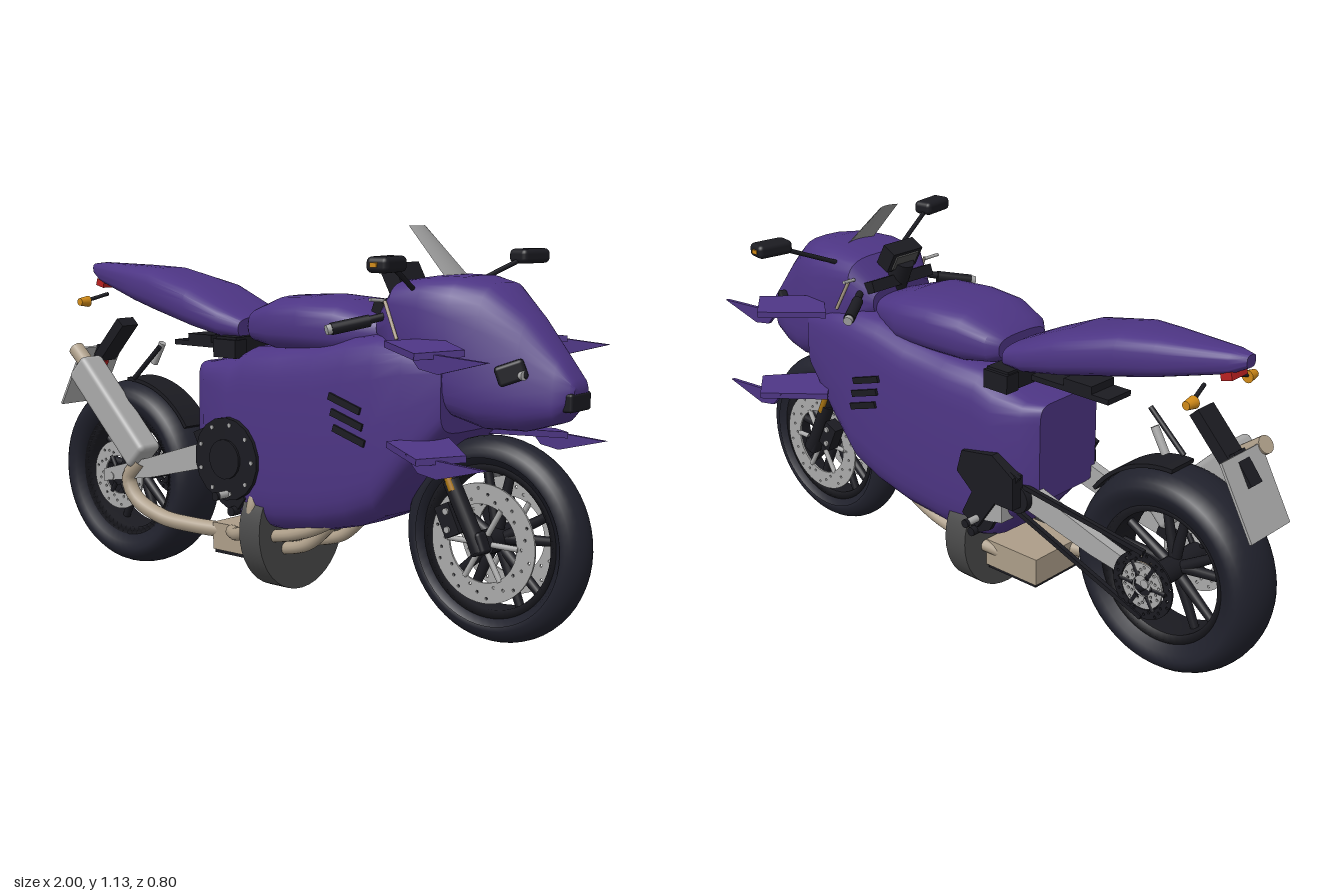
import * as THREE from 'three';
import { toCreasedNormals } from 'three/addons/utils/BufferGeometryUtils.js';
import { RoundedBoxGeometry } from 'three/addons/geometries/RoundedBoxGeometry.js';

const paint = (name, color) => Object.assign(new THREE.MeshStandardMaterial({ color }), { name });
const V = (p) => new THREE.Vector3(...p);

export function createModel() {
  const purple = paint('purple bodywork', 0x4d3584), rubber = paint('tyre rubber', 0x20212c);
  const black = paint('black parts', 0x1b1b21), steel = paint('steel', 0xa9a9a9);
  const grey = paint('dark grey', 0x4b4b4b), beige = paint('exhaust beige', 0xac9d88);
  const gold = paint('fork gold', 0xa87412), orange = paint('indicator orange', 0xd08a18);
  const red = paint('tail light red', 0xb82020);
  const screenMat = paint('screen grey', 0x989898);
  screenMat.side = THREE.DoubleSide;

  const bike = new THREE.Group();
  bike.name = 'motorcycle';
  let target = bike;
  const add = (name, geo, mat, x = 0, y = 0, z = 0) => {
    const m = new THREE.Mesh(geo, mat);
    m.name = name;
    m.position.set(x, y, z);
    target.add(m);
    return m;
  };
  const box = (name, mat, [w, h, d], [x, y, z], rz = 0) => {
    const m = add(name, new THREE.BoxGeometry(w, h, d), mat, x, y, z);
    m.rotation.z = rz;
    return m;
  };
  // Straight round bar between two points
  const rod = (name, mat, a, b, r, r2 = r) => {
    const p = V(a), q = V(b), d = q.clone().sub(p);
    const m = add(name, new THREE.CylinderGeometry(r2, r, d.length(), 18), mat);
    m.position.copy(p).add(q).multiplyScalar(0.5);
    m.quaternion.setFromUnitVectors(new THREE.Vector3(0, 1, 0), d.normalize());
    return m;
  };
  const pipe = (name, mat, pts, r) =>
    add(name, new THREE.TubeGeometry(new THREE.CatmullRomCurve3(pts.map(V)), 28, r, 12), mat);
  // Flat plate in the side plane, centred on z
  const plate = (name, mat, pts, depth, z) => {
    const s = new THREE.Shape(pts.map((p) => new THREE.Vector2(...p)));
    return add(name, new THREE.ExtrudeGeometry(s, { depth, bevelEnabled: false }), mat, 0, 0, z - depth / 2);
  };
  // Shell lofted along x; a section is [x, bottom, top, half width, squareness, top narrowing]
  const loft = (name, mat, sections, crease = 0.55, n = 32) => {
    const pos = [], idx = [];
    const pw = (v, e) => Math.sign(v) * Math.abs(v) ** (2 / e);
    sections.forEach(([x, lo, hi, w, e = 3, t = 0]) => {
      for (let j = 0; j < n; j++) {
        const a = (j / n) * Math.PI * 2, s = pw(Math.sin(a), e);
        pos.push(x, (lo + hi) / 2 + ((hi - lo) / 2) * s, w * pw(Math.cos(a), e) * (1 - t * (s + 1) / 2));
      }
    });
    const last = sections.length - 1, c = pos.length / 3;
    [sections[0], sections[last]].forEach(([x, lo, hi]) => pos.push(x, (lo + hi) / 2, 0));
    for (let j = 0; j < n; j++) {
      const k = (j + 1) % n;
      for (let i = 0; i < last; i++) {
        const a = i * n, b = a + n;
        idx.push(a + j, b + j, b + k, a + j, b + k, a + k);
      }
      idx.push(c, j, k, c + 1, last * n + k, last * n + j);
    }
    const g = new THREE.BufferGeometry();
    g.setAttribute('position', new THREE.Float32BufferAttribute(pos, 3));
    g.setIndex(idx);
    return add(name, toCreasedNormals(g, crease), mat);
  };

  // Bodywork
  loft('mainFairing', purple, [[-0.3, 0.41, 0.71, 0.125, 8], [-0.25, 0.38, 0.715, 0.16, 7], [-0.14, 0.25, 0.74, 0.175, 5],
    [-0.08, 0.23, 0.77, 0.18, 5], [0.05, 0.23, 0.78, 0.188, 5], [0.2, 0.25, 0.8, 0.197, 5], [0.32, 0.28, 0.83, 0.2, 5],
    [0.42, 0.325, 0.84, 0.2, 5], [0.52, 0.45, 0.83, 0.195, 5], [0.635, 0.58, 0.8, 0.17, 5]]);
  loft('tank', purple, [[-0.12, 0.79, 0.86, 0.1], [-0.09, 0.775, 0.885, 0.13], [0, 0.76, 0.92, 0.155], [0.12, 0.76, 0.927, 0.165],
    [0.25, 0.76, 0.92, 0.16], [0.34, 0.78, 0.89, 0.13], [0.43, 0.79, 0.86, 0.08]]);
  loft('tail', purple, [[-0.895, 0.95, 0.985, 0.02], [-0.85, 0.925, 0.99, 0.04], [-0.65, 0.87, 0.987, 0.09], [-0.54, 0.845, 0.983, 0.115],
    [-0.35, 0.805, 0.94, 0.145], [-0.22, 0.78, 0.885, 0.135], [-0.145, 0.78, 0.85, 0.115]]);
  loft('nose', purple, [[0.38, 0.81, 0.9, 0.12], [0.45, 0.76, 0.985, 0.16, 4], [0.55, 0.7, 1.0, 0.172, 4, 0.04], [0.64, 0.62, 1.0, 0.172, 4, 0.1],
    [0.72, 0.595, 0.985, 0.16, 3.5, 0.22], [0.82, 0.597, 0.905, 0.125, 3, 0.38], [0.91, 0.625, 0.8, 0.08, 3, 0.35],
    [0.95, 0.67, 0.745, 0.045, 3.5], [0.958, 0.69, 0.73, 0.035, 3.5]]);
  add('noseIntake', new RoundedBoxGeometry(0.05, 0.05, 0.1, 2, 0.008), black, 0.935, 0.685, 0);

  // Windscreen, a shallow curved strip
  const screen = new THREE.PlaneGeometry(1, 1, 8, 4);
  for (let i = 0, p = screen.attributes.position; i < p.count; i++) {
    const u = p.getX(i), v = p.getY(i) + 0.5;
    p.setXYZ(i, 0.58 - 0.14 * v - u * u * 0.05, 0.99 + 0.14 * v, -u * (0.11 - 0.035 * v));
  }
  screen.computeVertexNormals();
  add('windscreen', screen, screenMat);

  // Paired body details
  for (const s of [1, -1]) {
    for (const [y, inner, shift] of [[0.835, 0.13, 0], [0.565, 0.1, 0.01]]) {
      const sh = new THREE.Shape([[0.485, 0.22], [0.6, inner], [0.765, 0.25], [0.67, 0.338]].map(([x, z]) => new THREE.Vector2(x + shift, z * s)));
      const g = new THREE.ExtrudeGeometry(sh, { depth: 0.018, bevelEnabled: false }).rotateX(Math.PI / 2);
      for (let i = 0, p = g.attributes.position; i < p.count; i++) p.setY(i, p.getY(i) - (Math.abs(p.getZ(i)) - 0.17) * 0.1);
      g.computeVertexNormals();
      add('winglet', g, purple, 0, y, 0);
      plate('wingletEndPlate', purple, [[0.62, y - 0.015], [0.87, y - 0.03], [0.72, y - 0.07], [0.66, y - 0.06]], 0.012, s * 0.298);
    }
    for (let i = 0; i < 3; i++)
      box('sideVent', black, [0.115, 0.02, 0.009], [0.335 + i * 0.008, 0.645 - i * 0.044, s * 0.202], -0.3);
    // Headlights
    const lamp = add('headlight', new RoundedBoxGeometry(0.08, 0.055, 0.03, 2, 0.01), black, 0.815, 0.76, s * 0.112);
    lamp.rotation.set(0, s * 0.5, 0.35);
    rod('headlightLens', steel, [0.82, 0.755, s * 0.1], [0.852, 0.755, s * 0.107], 0.013);
    // Mirrors
    rod('mirrorStalk', black, [0.52, 0.965, s * 0.14], [0.575, 1.03, s * 0.3], 0.007);
    add('mirror', new RoundedBoxGeometry(0.065, 0.042, 0.115, 3, 0.015), black, 0.582, 1.04, s * 0.338).rotation.y = s * 0.15;
    box('mirrorMarker', orange, [0.02, 0.012, 0.008], [0.585, 1.04, s * 0.396]);
    // Handlebars and levers
    rod('handlebar', black, [0.43, 0.89, s * 0.12], [0.36, 0.863, s * 0.23], 0.011);
    rod('grip', black, [0.395, 0.875, s * 0.17], [0.335, 0.855, s * 0.26], 0.017);
    rod('barEnd', steel, [0.335, 0.855, s * 0.26], [0.328, 0.852, s * 0.272], 0.014);
    rod('lever', steel, [0.43, 0.93, s * 0.15], [0.42, 0.935, s * 0.2], 0.005);
    rod('brakeHose', beige, [0.44, 0.93, s * 0.16], [0.49, 0.83, s * 0.172], 0.005);
    // Front forks
    rod('forkUpper', black, [0.64, 0.43, s * 0.105], [0.56, 0.6, s * 0.105], 0.02);
    rod('forkStripe', gold, [0.645, 0.43, s * 0.122], [0.575, 0.575, s * 0.122], 0.011);
    rod('forkLower', black, [0.722, 0.27, s * 0.1], [0.628, 0.455, s * 0.107], 0.024);
    add('forkFoot', new RoundedBoxGeometry(0.05, 0.06, 0.04, 2, 0.01), black, 0.715, 0.29, s * 0.1).rotation.z = 0.4;
    box('brakeCaliper', black, [0.05, 0.09, 0.04], [0.625, 0.345, s * 0.1], 0.45);
    for (const y of [0.32, 0.37]) rod('caliperBolt', steel, [0.66 - y * 0.1, y, s * 0.11], [0.66 - y * 0.1, y, s * 0.126], 0.009);
    // Foot pegs and hanger
    plate('footPegHanger', black, [[-0.27, 0.5], [-0.2, 0.53], [-0.06, 0.32], [-0.1, 0.27], [-0.16, 0.3]], 0.015, s * 0.175);
    rod('footPeg', steel, [-0.12, 0.33, s * 0.16], [-0.12, 0.33, s * 0.235], 0.011);
    rod('pegEnd', black, [-0.12, 0.33, s * 0.235], [-0.12, 0.33, s * 0.246], 0.013);
    rod('pegTip', black, [-0.1, 0.28, s * 0.17], [-0.1, 0.28, s * 0.2], 0.014);
    // Swing arm
    plate('swingArm', steel, [[-0.73, 0.285], [-0.73, 0.325], [-0.52, 0.385], [-0.25, 0.47], [-0.2, 0.4], [-0.5, 0.325]], 0.03, s * 0.122);
    rod('rearIndicator', orange, [-0.81, 0.868, s * 0.12], [-0.81, 0.868, s * 0.155], 0.018, 0.012);
    rod('indicatorStem', black, [-0.79, 0.89, s * 0.05], [-0.81, 0.87, s * 0.13], 0.006);
    // Seat side mounts
    box('seatMount', black, [0.09, 0.055, 0.05], [-0.16, 0.76, s * 0.135]);
  }

  // Steering head and dash
  box('dash', black, [0.05, 0.07, 0.12], [0.385, 0.985, 0], 0.5);
  box('dashScreen', grey, [0.006, 0.05, 0.09], [0.361, 0.972, 0], 0.5);
  box('topYoke', black, [0.08, 0.035, 0.25], [0.41, 0.9, 0], -0.35);
  rod('steeringStem', black, [0.37, 0.97, 0], [0.42, 0.86, 0], 0.035);

  // Seat frame
  box('seatFrame', black, [0.32, 0.016, 0.1], [-0.32, 0.752, 0]);
  box('seatBase', black, [0.08, 0.06, 0.3], [-0.16, 0.765, 0]);
  box('tailBox', black, [0.1, 0.035, 0.1], [-0.37, 0.765, 0]);

  // Wheels
  const tyreGeo = (r, w, ri) => {
    const pts = [[ri, -w * 0.72], [ri + 0.03, -w * 0.92]];
    for (let i = 0; i <= 12; i++) {
      const a = -Math.PI / 2 + (i / 12) * Math.PI;
      pts.push([r - 0.055 + 0.055 * Math.cos(a), w * Math.sin(a)]);
    }
    pts.push([ri + 0.03, w * 0.92], [ri, w * 0.72], [ri, -w * 0.72]);
    return new THREE.LatheGeometry(pts.map((p) => new THREE.Vector2(...p)), 56).rotateX(Math.PI / 2);
  };
  // Flat ring drilled with small holes
  const discGeo = (r, ri) => {
    const s = new THREE.Shape().absarc(0, 0, r, 0, Math.PI * 2, false);
    s.holes.push(new THREE.Path().absarc(0, 0, ri, 0, Math.PI * 2, true));
    for (let i = 0; i < 30; i++) {
      const a = (i / 30) * Math.PI * 2, q = ri + (r - ri) * (0.25 + 0.25 * (i % 3));
      s.holes.push(new THREE.Path().absarc(q * Math.cos(a), q * Math.sin(a), 0.004, 0, Math.PI * 2, true));
    }
    return new THREE.ExtrudeGeometry(s, { depth: 0.006, bevelEnabled: false, curveSegments: 32 }).translate(0, 0, -0.003);
  };
  const wheel = (name, x, r, w, ri, discs) => {
    target = new THREE.Group();
    target.name = name;
    target.position.set(x, r, 0);
    bike.add(target);
    add('tyre', tyreGeo(r, w, ri), rubber);
    const rim = [[ri - 0.018, -w * 0.6], [ri + 0.004, -w * 0.75], [ri + 0.004, w * 0.75], [ri - 0.018, w * 0.6], [ri - 0.018, -w * 0.6]];
    add('rim', new THREE.LatheGeometry(rim.map((p) => new THREE.Vector2(...p)), 56).rotateX(Math.PI / 2), black);
    for (let i = 0; i < 10; i++) {
      const a = (Math.floor(i / 2) / 5) * Math.PI * 2 + 0.3, b = a + (i % 2 ? 0.2 : -0.2);
      rod('spoke', black, [0.02 * Math.cos(a), 0.02 * Math.sin(a), 0], [ri * Math.cos(b), ri * Math.sin(b), 0], 0.017, 0.012);
    }
    rod('hub', black, [0, 0, -w - 0.01], [0, 0, w + 0.01], 0.035);
    rod('axle', steel, [0, 0, -w - 0.045], [0, 0, w + 0.045], 0.013);
    for (const [z, q, qi, mat, carrier] of discs) {
      add('wheelDisc', discGeo(q, qi), mat, 0, 0, z);
      for (let i = 0; i < 6; i++) {
        const a = (i / 6) * Math.PI * 2, c = Math.cos(a), d = Math.sin(a);
        rod('discCarrier', carrier, [0.03 * c, 0.03 * d, z], [(qi + 0.005) * c, (qi + 0.005) * d, z], 0.008);
      }
    }
    target = bike;
  };
  wheel('frontWheel', 0.71, 0.286, 0.06, 0.208, [[0.07, 0.165, 0.108, steel, steel], [-0.07, 0.165, 0.108, steel, steel]]);
  // The rear wheel carries a brake disc on its left and the sprocket on its right
  wheel('rearWheel', -0.694, 0.305, 0.095, 0.2, [[0.102, 0.112, 0.062, steel, black], [-0.145, 0.1, 0.072, black, black], [-0.148, 0.068, 0.03, steel, black]]);
  box('rearCaliper', black, [0.07, 0.05, 0.03], [-0.6, 0.34, 0.105], 0.3);

  // Chain drive
  rod('frontSprocket', black, [-0.24, 0.42, -0.16], [-0.24, 0.42, -0.13], 0.045);
  for (const [y0, y1] of [[0.404, 0.465], [0.206, 0.375]]) {
    const len = Math.hypot(0.454, y1 - y0);
    box('chainRun', black, [len, 0.014, 0.014], [-0.467, (y0 + y1) / 2, -0.146], Math.atan2(y1 - y0, 0.454));
  }

  // Slim rear mudguard close to the tyre
  const hugger = new THREE.Shape().absarc(0, 0, 0.316, 0.6, 1.6, false).absarc(0, 0, 0.304, 1.6, 0.6, true);
  add('rearMudguard', new THREE.ExtrudeGeometry(hugger, { depth: 0.1, bevelEnabled: false }), black, -0.694, 0.305, -0.05);
  rod('mudguardStay', black, [-0.67, 0.62, 0.05], [-0.55, 0.73, 0.05], 0.008);
  rod('shockAbsorber', steel, [-0.68, 0.66, -0.05], [-0.64, 0.73, -0.05], 0.012);

  // Engine
  rod('clutchCover', black, [-0.125, 0.435, 0.12], [-0.125, 0.435, 0.195], 0.125);
  rod('clutchCap', black, [-0.125, 0.435, 0.19], [-0.125, 0.435, 0.202], 0.06);
  for (let i = 0; i < 9; i++) {
    const a = (i / 9) * Math.PI * 2, x = -0.125 + 0.105 * Math.cos(a), y = 0.435 + 0.105 * Math.sin(a);
    rod('coverBolt', steel, [x, y, 0.19], [x, y, 0.198], 0.006);
  }
  plate('sprocketCover', black, [[-0.26, 0.4], [-0.26, 0.5], [-0.18, 0.55], [-0.06, 0.53], [-0.04, 0.46], [-0.1, 0.41], [-0.06, 0.33], [-0.12, 0.3], [-0.19, 0.4]], 0.07, -0.16);
  plate('gearboxPanel', steel, [[-0.21, 0.34], [-0.21, 0.43], [-0.12, 0.44], [-0.08, 0.38], [-0.1, 0.32]], 0.05, -0.16);
  add('lowerDrum', new THREE.CylinderGeometry(0.195, 0.195, 0.08, 40).rotateZ(Math.PI / 2), grey, -0.03, 0.222, 0);

  // Exhaust
  for (const z of [-0.13, -0.08, 0.08, 0.13]) {
    const low = Math.abs(z) < 0.1 ? 0.16 : 0.2;
    pipe('header', beige, [[0.34, 0.36, z], [0.2, 0.27, z], [0.1, low + 0.03, z], [-0.03, low, z * 0.9], [-0.12, 0.17, z * 0.6]], 0.019);
  }
  box('collector', beige, [0.2, 0.085, 0.2], [-0.17, 0.165, 0]);
  box('collectorBase', black, [0.19, 0.012, 0.19], [-0.17, 0.118, 0]);
  pipe('crossPipe', beige, [[-0.19, 0.19, 0.1], [-0.12, 0.2, 0.15], [-0.06, 0.23, 0.165], [-0.04, 0.3, 0.165], [-0.04, 0.36, 0.15]], 0.02);
  pipe('linkPipe', beige, [[-0.2, 0.18, 0.06], [-0.35, 0.185, 0.1], [-0.47, 0.2, 0.125], [-0.58, 0.25, 0.135], [-0.61, 0.31, 0.135], [-0.56, 0.37, 0.13]], 0.025);
  const can = add('muffler', new RoundedBoxGeometry(0.4, 0.1, 0.09, 3, 0.018), steel, -0.69, 0.52, 0.122);
  can.rotation.z = -0.78;
  rod('mufflerTip', beige, [-0.82, 0.65, 0.11], [-0.895, 0.705, 0.1], 0.026);

  // Number plate carrier and tail light
  box('numberPlate', steel, [0.225, 0.008, 0.18], [-0.935, 0.61, 0], 1.07);
  box('plateCarrier', black, [0.17, 0.035, 0.07], [-0.81, 0.735, 0], 0.82);
  box('plateBracket', black, [0.1, 0.02, 0.05], [-0.9, 0.67, 0], 0.9);
  box('rearReflector', red, [0.012, 0.03, 0.06], [-0.893, 0.645, 0], -0.5);
  box('tailLight', red, [0.035, 0.022, 0.07], [-0.845, 0.922, 0], -0.25);
  return bike;
}
